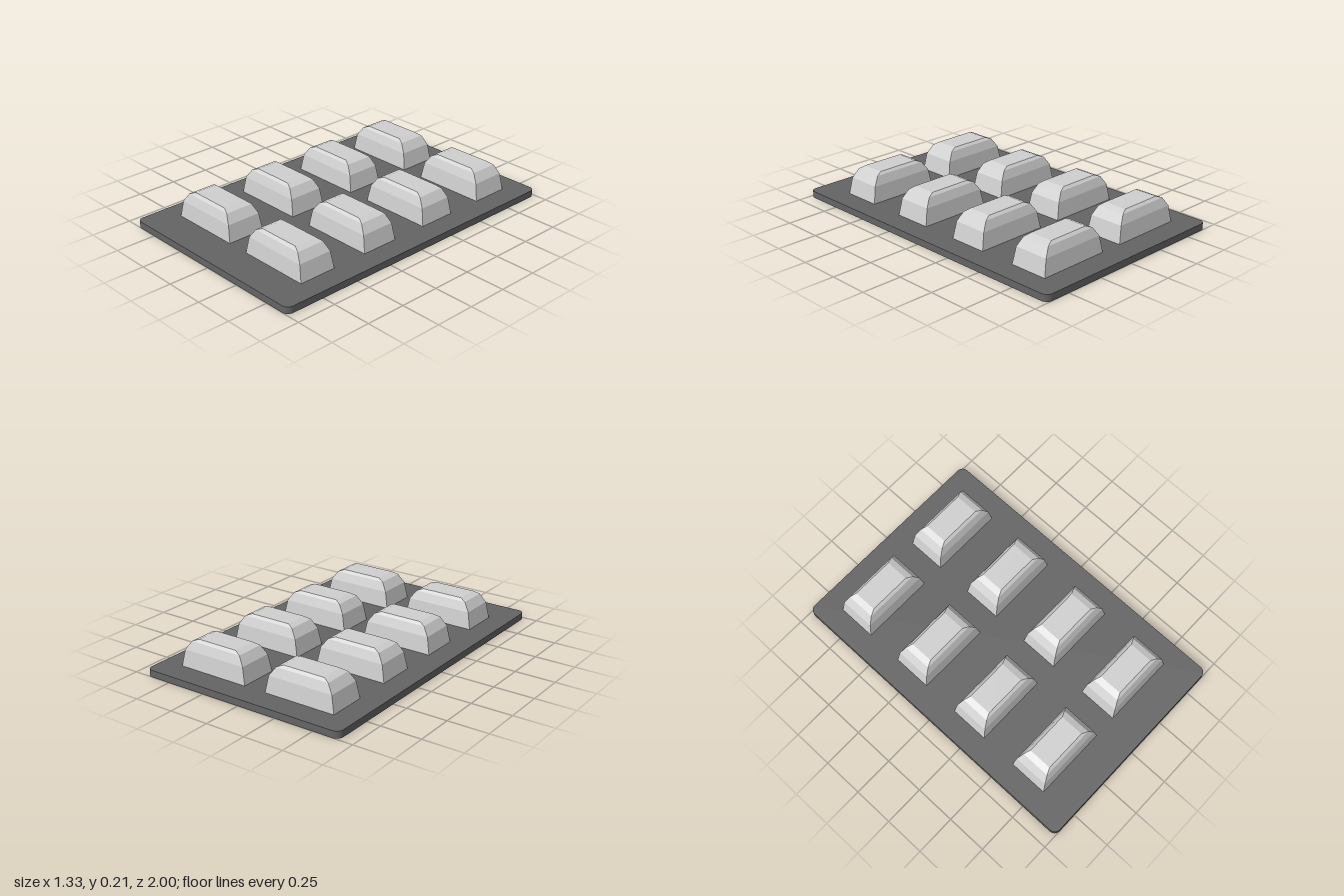
import * as THREE from 'three';
import { toCreasedNormals } from 'three/addons/utils/BufferGeometryUtils.js';

const BASE_TOP = 0.042;

// Rounded rectangular card, lying flat
function cardGeometry(hx, hz, r, height) {
  const s = new THREE.Shape();
  s.moveTo(-hx + r, -hz);
  s.lineTo(hx - r, -hz);
  s.absarc(hx - r, -hz + r, r, -Math.PI / 2, 0);
  s.lineTo(hx, hz - r);
  s.absarc(hx - r, hz - r, r, 0, Math.PI / 2);
  s.lineTo(-hx + r, hz);
  s.absarc(-hx + r, hz - r, r, Math.PI / 2, Math.PI);
  s.lineTo(-hx, -hz + r);
  s.absarc(-hx + r, -hz + r, r, Math.PI, Math.PI * 1.5);
  const g = new THREE.ExtrudeGeometry(s, { depth: height, bevelEnabled: false, curveSegments: 8 });
  g.rotateX(-Math.PI / 2);
  return toCreasedNormals(g, 0.6);
}

// Faceted blister: a box whose rings narrow towards the top
function blisterGeometry() {
  const rings = [ // y, half width, half depth
    [BASE_TOP, 0.229, 0.12],
    [0.145, 0.209, 0.109],
    [0.198, 0.173, 0.09],
    [0.213, 0.134, 0.073],
  ];
  const g = new THREE.BoxGeometry(2, 3, 2, 1, 3, 1);
  const p = g.attributes.position;
  for (let i = 0; i < p.count; i++) {
    const [y, hx, hz] = rings[Math.round(p.getY(i) + 1.5)];
    p.setXYZ(i, Math.sign(p.getX(i)) * hx, y, Math.sign(p.getZ(i)) * hz);
  }
  const flat = g.toNonIndexed();
  flat.computeVertexNormals();
  return flat;
}

export function createModel() {
  const model = new THREE.Group();
  model.name = 'blisterPack';

  const darkGrey = new THREE.MeshStandardMaterial({ color: 0x646464 });
  darkGrey.name = 'dark grey';
  const lightGrey = new THREE.MeshStandardMaterial({ color: 0xd0d0d0 });
  lightGrey.name = 'light grey';

  const card = new THREE.Mesh(cardGeometry(0.665, 1, 0.04, BASE_TOP), darkGrey);
  card.name = 'backingCard';
  model.add(card);

  // Two columns of four blisters, set slightly towards the back
  const blister = blisterGeometry();
  for (const side of [-1, 1]) {
    for (let row = 0; row < 4; row++) {
      const mesh = new THREE.Mesh(blister, lightGrey);
      mesh.name = `${side > 0 ? 'left' : 'right'}Blister${row + 1}`;
      mesh.position.set(side * 0.3, 0, -0.735 + row * 0.467);
      model.add(mesh);
    }
  }
  return model;
}
